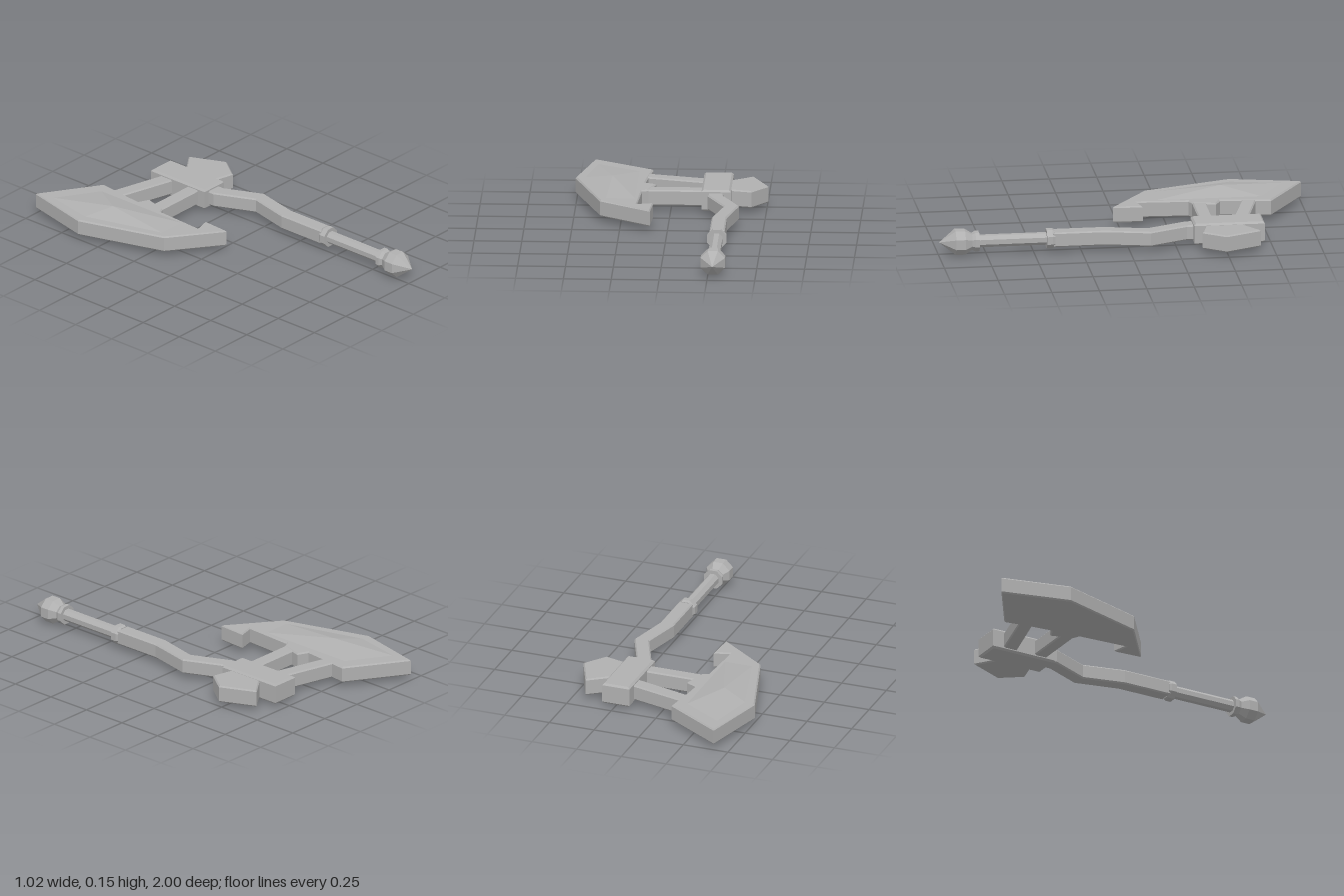
import * as THREE from 'three';
import { ConvexGeometry } from 'three/addons/geometries/ConvexGeometry.js';

const steel = new THREE.MeshStandardMaterial({ color: 0xb0b0b0 });
steel.name = 'grey steel';

export function createModel() {
  const axe = new THREE.Group();
  axe.name = 'battleAxe';
  axe.position.y = 0.073; // the axe lies flat, mirrored about its mid plane

  function add(name, geometry) {
    const mesh = new THREE.Mesh(geometry, steel);
    mesh.name = name;
    axe.add(mesh);
    return mesh;
  }

  // Flat slab with thin bevelled edges from an [x, z] outline
  function slab(name, outline, half, bevel = 0.007) {
    const shape = new THREE.Shape(outline.map(([x, z]) => new THREE.Vector2(x, z)));
    const g = new THREE.ExtrudeGeometry(shape, {
      depth: 2 * (half - bevel), bevelEnabled: true, bevelSegments: 1,
      bevelSize: bevel, bevelThickness: bevel, bevelOffset: -bevel,
    });
    g.translate(0, 0, -(half - bevel));
    g.rotateX(Math.PI / 2);
    return add(name, g);
  }

  // Eight-sided turned part along z from [radius, z] points
  function turned(name, profile) {
    const points = profile.map(([r, z]) => new THREE.Vector2(r / Math.cos(Math.PI / 8), z));
    const g = new THREE.LatheGeometry(points, 8, Math.PI / 8).toNonIndexed();
    g.computeVertexNormals();
    g.rotateX(Math.PI / 2);
    add(name, g).position.x = 0.277;
  }

  // Blade with notched inner edge and lower hook
  slab('blade', [
    [-0.42, -1], [-0.106, -0.8], [-0.127, -0.65], [-0.138, -0.535], [-0.08, -0.508],
    [-0.095, -0.455], [-0.116, -0.386], [-0.148, -0.37], [-0.164, -0.1], [-0.08, -0.122],
    [-0.09, 0.035], [-0.36, -0.164], [-0.508, -0.63],
  ], 0.044);

  // Shallow pyramid swelling on both blade faces
  const rim = [[-0.4, -0.9], [-0.175, -0.76], [-0.175, -0.2], [-0.33, -0.2], [-0.455, -0.63]];
  const swell = [];
  for (const s of [-1, 1]) {
    rim.forEach(([x, z]) => swell.push(new THREE.Vector3(x, s * 0.0435, z)));
    swell.push(new THREE.Vector3(-0.31, s * 0.073, -0.56));
  }
  add('bladeSwelling', new ConvexGeometry(swell));

  // Two struts joining blade and socket
  slab('rearStrut', [[-0.15, -0.729], [0.2, -0.636], [0.2, -0.556], [-0.15, -0.651]], 0.042);
  slab('frontStrut', [[-0.14, -0.46], [0.2, -0.46], [0.2, -0.386], [-0.14, -0.386]], 0.042);

  // Socket block and back spike
  slab('socket', [[0.163, -0.712], [0.317, -0.712], [0.317, -0.34], [0.163, -0.34]], 0.057, 0.01);
  slab('backSpike', [
    [0.29, -0.582], [0.32, -0.603], [0.423, -0.677], [0.508, -0.487], [0.423, -0.37], [0.29, -0.404],
  ], 0.046);

  // Crooked haft
  slab('haft', [
    [0.196, -0.38], [0.28, -0.38], [0.28, -0.307], [0.37, -0.106], [0.317, 0.13], [0.317, 0.4],
    [0.238, 0.4], [0.238, 0.127], [0.29, -0.095], [0.196, -0.307],
  ], 0.04);

  // Grip with collars and pointed pommel
  turned('grip', [[0.031, 0.38], [0.031, 0.83]]);
  turned('upperCollar', [[0, 0.392], [0.044, 0.392], [0.05, 0.405], [0.05, 0.435], [0, 0.435]]);
  turned('lowerCollar', [[0, 0.79], [0.05, 0.79], [0.05, 0.81], [0.04, 0.83], [0, 0.83]]);
  turned('pommel', [[0, 0.825], [0.04, 0.825], [0.064, 0.865], [0.064, 0.915], [0, 1]]);

  return axe;
}
